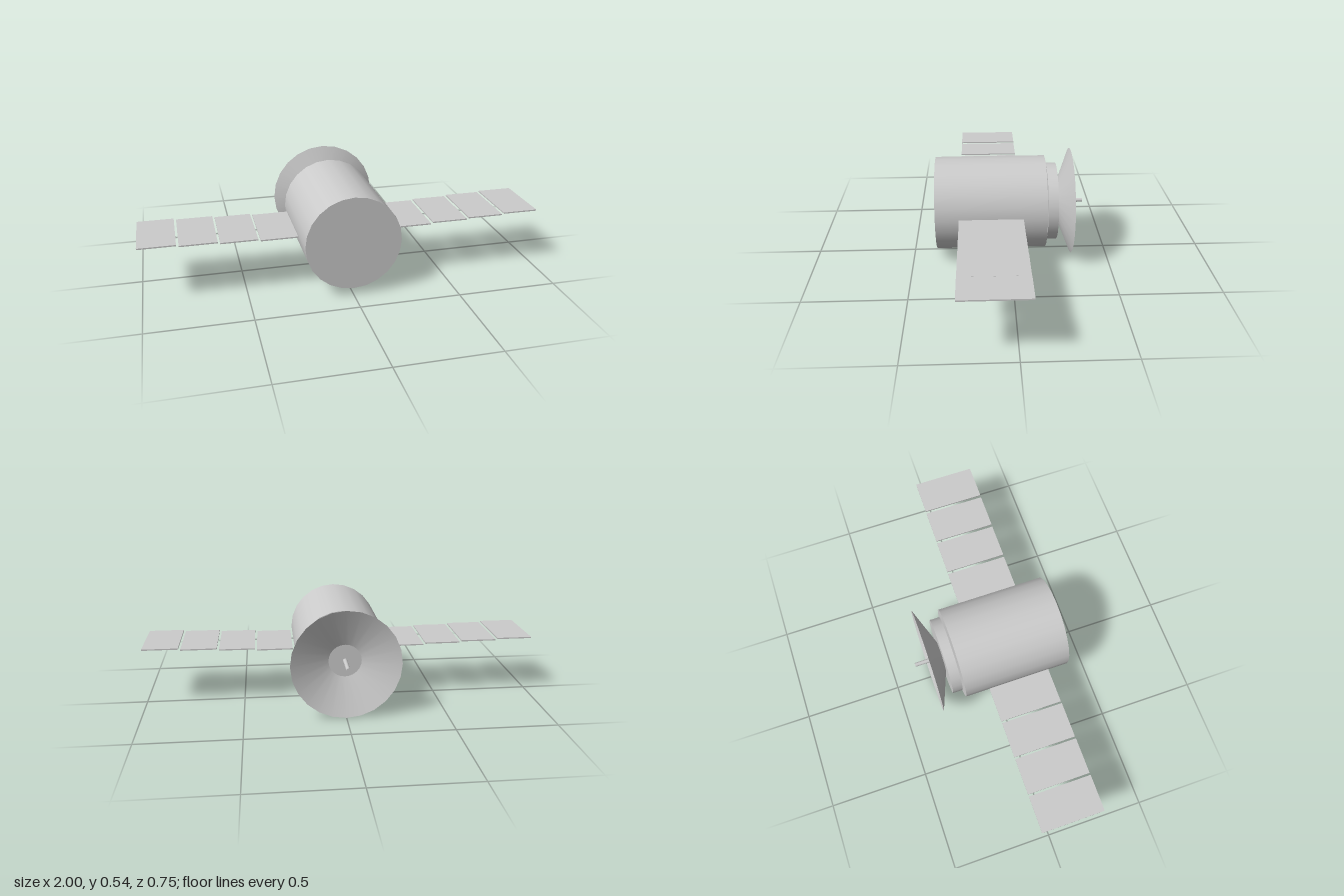
import * as THREE from 'three';

const AXIS_Y = 0.273;
const SIDES = 24;

export function createModel() {
  const model = new THREE.Group();
  model.name = 'satellite';
  const grey = new THREE.MeshStandardMaterial({ color: 0xcccccc });
  const thin = new THREE.MeshStandardMaterial({ color: 0xcccccc, side: THREE.DoubleSide });

  // Round part along z, from its front end to its back end
  function round(name, zFront, zBack, rFront, rBack, sides = SIDES, open = false) {
    const geo = new THREE.CylinderGeometry(rFront, rBack, zFront - zBack, sides, 1, open);
    geo.rotateX(Math.PI / 2);
    const mesh = new THREE.Mesh(geo, open ? thin : grey);
    mesh.name = name;
    mesh.position.set(0, AXIS_Y, (zFront + zBack) / 2);
    model.add(mesh);
  }

  round('body', 0.376, -0.178, 0.236, 0.236);
  round('collar', -0.185, -0.236, 0.198, 0.198);
  round('dish', -0.236, -0.31, 0.08, 0.272, SIDES, true);
  round('antenna', -0.236, -0.376, 0.011, 0.01, 12);

  // Dish floor, just proud of the collar
  const floor = new THREE.Mesh(new THREE.CircleGeometry(0.082, SIDES), thin);
  floor.name = 'dishFloor';
  floor.rotation.y = Math.PI;
  floor.position.set(0, AXIS_Y, -0.2375);
  model.add(floor);

  // Solar wings: four panels a side, each a step higher than the last
  const panelGeo = new THREE.BoxGeometry(0.18, 0.0065, 0.317);
  for (const side of [1, -1]) {
    const wing = new THREE.Group();
    wing.name = side > 0 ? 'leftWing' : 'rightWing';
    for (let i = 0; i < 4; i++) {
      const panel = new THREE.Mesh(panelGeo, grey);
      panel.name = 'solarPanel';
      panel.position.set(side * (0.337 + 0.191 * i), 0.283 + 0.0062 * i, 0.1);
      wing.add(panel);
    }
    model.add(wing);
  }
  return model;
}
